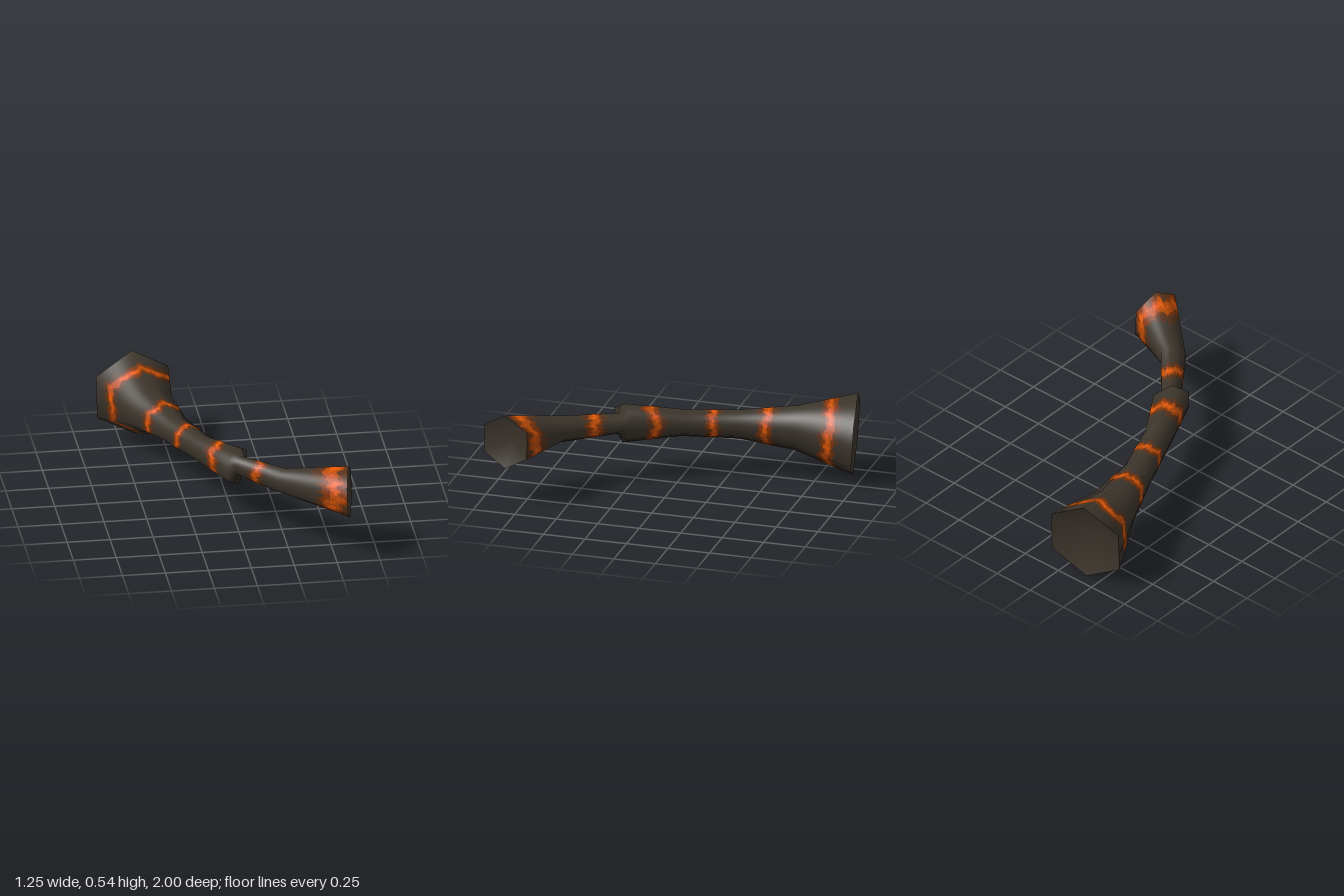
import * as THREE from 'three';

const SIDES = 6, ROWS = 40, COLS = 20;
const mat = (name, color) => {
  const m = new THREE.MeshStandardMaterial({ color });
  m.name = name;
  return m;
};

// Cross-section: centre, radius, yaw and pitch of the tube at that point
const ring = (x, y, z, r, yaw, pitch = 0.05) => {
  const f = new THREE.Vector3(Math.sin(yaw) * Math.cos(pitch), Math.sin(pitch), Math.cos(yaw) * Math.cos(pitch));
  const side = new THREE.Vector3(Math.cos(yaw), 0, -Math.sin(yaw));
  const up = f.clone().cross(side);
  return Array.from({ length: SIDES }, (_, k) => {
    const a = (k / SIDES) * Math.PI * 2;
    return new THREE.Vector3(x, y, z).addScaledVector(up, r * Math.cos(a)).addScaledVector(side, r * Math.sin(a));
  });
};

function buildGeometry(points, idx) {
  const g = new THREE.BufferGeometry().setFromPoints(points);
  g.setIndex(idx);
  g.computeVertexNormals();
  return g;
}

// Plain hexagonal shell through the rings
function shell(rings) {
  const idx = [];
  for (let i = 0; i < rings.length - 1; i++) {
    for (let j = 0; j < SIDES; j++) {
      const a = i * SIDES + j, b = i * SIDES + (j + 1) % SIDES, c = a + SIDES, d = b + SIDES;
      idx.push(a, c, b, b, c, d);
    }
  }
  return buildGeometry(rings.flat(), idx);
}

// Dished end: a shallow cone sunk from the rim towards the next ring
function dish(rim, next, depth, facesFront) {
  const centre = r => r.reduce((s, p) => s.add(p), new THREE.Vector3()).divideScalar(SIDES);
  const c = centre(rim);
  const apex = c.clone().addScaledVector(centre(next).sub(c).normalize(), depth);
  const idx = [];
  for (let j = 0; j < SIDES; j++) {
    const k = (j + 1) % SIDES;
    idx.push(...(facesFront ? [k, j, SIDES] : [j, k, SIDES]));
  }
  return buildGeometry([...rim, apex], idx);
}

// Ragged wave around the tube, one pattern per band
const wave = (u, seed) =>
  0.45 * Math.sin(u * 3 + seed * 1.7) + 0.3 * Math.sin(u * 8 + seed * 2.9) + 0.25 * Math.sin(u * 17 + seed * 4.1);

// Colour index: 0 stone, 1 scorched, 2 rust, 3 ember, 4 bright core
function bandColour(t, u, [centre, width], seed) {
  const d = Math.abs(t - centre - 0.3 * width * wave(u, seed)) / width;
  if (d < 0.08 + 0.25 * wave(u * 2, seed + 5)) return 4;
  if (d < 0.36 + 0.15 * wave(u, seed + 9)) return 3;
  if (d < 0.6 + 0.2 * wave(u, seed + 11)) return 2;
  if (d < 0.95 + 0.3 * wave(u, seed + 13)) return 1;
  return 0;
}

// Fine skin over the shell; its cells are sorted into glowing bands
function bandedSkin(rings, bands) {
  const coarse = shell(rings);
  const pos = [], nor = [], cells = [[], [], [], [], []];
  const n = SIDES * COLS;
  const mix = (attr, i, j, t, w) => {
    const at = (r, k) => new THREE.Vector3().fromBufferAttribute(attr, r * SIDES + k % SIDES);
    return at(i, j).lerp(at(i, j + 1), w).lerp(at(i + 1, j).lerp(at(i + 1, j + 1), w), t);
  };
  bands.forEach((band, i) => {
    const base = pos.length / 3;
    for (let r = 0; r <= ROWS; r++) {
      for (let q = 0; q <= n; q++) {
        const j = Math.min(Math.floor(q / COLS), SIDES - 1), w = q / COLS - j;
        pos.push(...mix(coarse.attributes.position, i, j, r / ROWS, w).toArray());
        nor.push(...mix(coarse.attributes.normal, i, j, r / ROWS, w).normalize().toArray());
        if (r === ROWS || q === n) continue;
        const u = ((q + 0.5) / n) * Math.PI * 2;
        const a = base + r * (n + 1) + q, b = a + 1, c = a + n + 1, d = c + 1;
        const colour = band ? bandColour((r + 0.5) / ROWS, u, band, i + 1) : 0;
        cells[colour].push(a, c, b, b, c, d);
      }
    }
  });
  const g = new THREE.BufferGeometry();
  g.setAttribute('position', new THREE.Float32BufferAttribute(pos, 3));
  g.setAttribute('normal', new THREE.Float32BufferAttribute(nor, 3));
  g.setIndex(cells.flat());
  let start = 0;
  cells.forEach((c, k) => {
    g.addGroup(start, c.length, k);
    start += c.length;
  });
  return g;
}

export function createModel() {
  const model = new THREE.Group();
  model.name = 'bentHorn';
  const stone = mat('darkStone', 0x3b342b);
  const skin = [
    stone,
    mat('scorchedBrown', 0x55311a),
    mat('rust', 0x803408),
    mat('ember', 0xb84a06),
    mat('brightEmber', 0xee5c08),
  ];
  const add = (name, geometry, material) => {
    const m = new THREE.Mesh(geometry, material);
    m.name = name;
    model.add(m);
  };

  // Wide horn from the rear mouth to the collar, then the narrow horn to the front mouth
  const rings = [
    ring(-0.41, 0.255, -0.95, 0.255, 0.21, 0.06),
    ring(-0.345, 0.28, -0.617, 0.141, 0.18, 0.06),
    ring(-0.257, 0.3, -0.3, 0.09, 0.26),
    ring(-0.14, 0.318, 0.01, 0.083, 0.38),
    ring(0.015, 0.338, 0.318, 0.119, 0.84),
    ring(0.035, 0.342, 0.337, 0.063, 0.82),
    ring(0.258, 0.358, 0.62, 0.082, 0.61),
    ring(0.593, 0.377, 0.853, 0.163, 1.355, 0.04),
  ];

  // Each band: place along its segment and half-width, as fractions; the collar step has none
  const bands = [[0.43, 0.17], [0.53, 0.17], [0.48, 0.15], [0.55, 0.19], null, [0.48, 0.19], [0.79, 0.28]];
  add('hornBody', bandedSkin(rings, bands), skin);
  add('rearMouth', dish(rings[0], rings[1], 0.09, false), stone);
  add('frontMouth', dish(rings[7], rings[6], 0.057, true), stone);
  return model;
}
